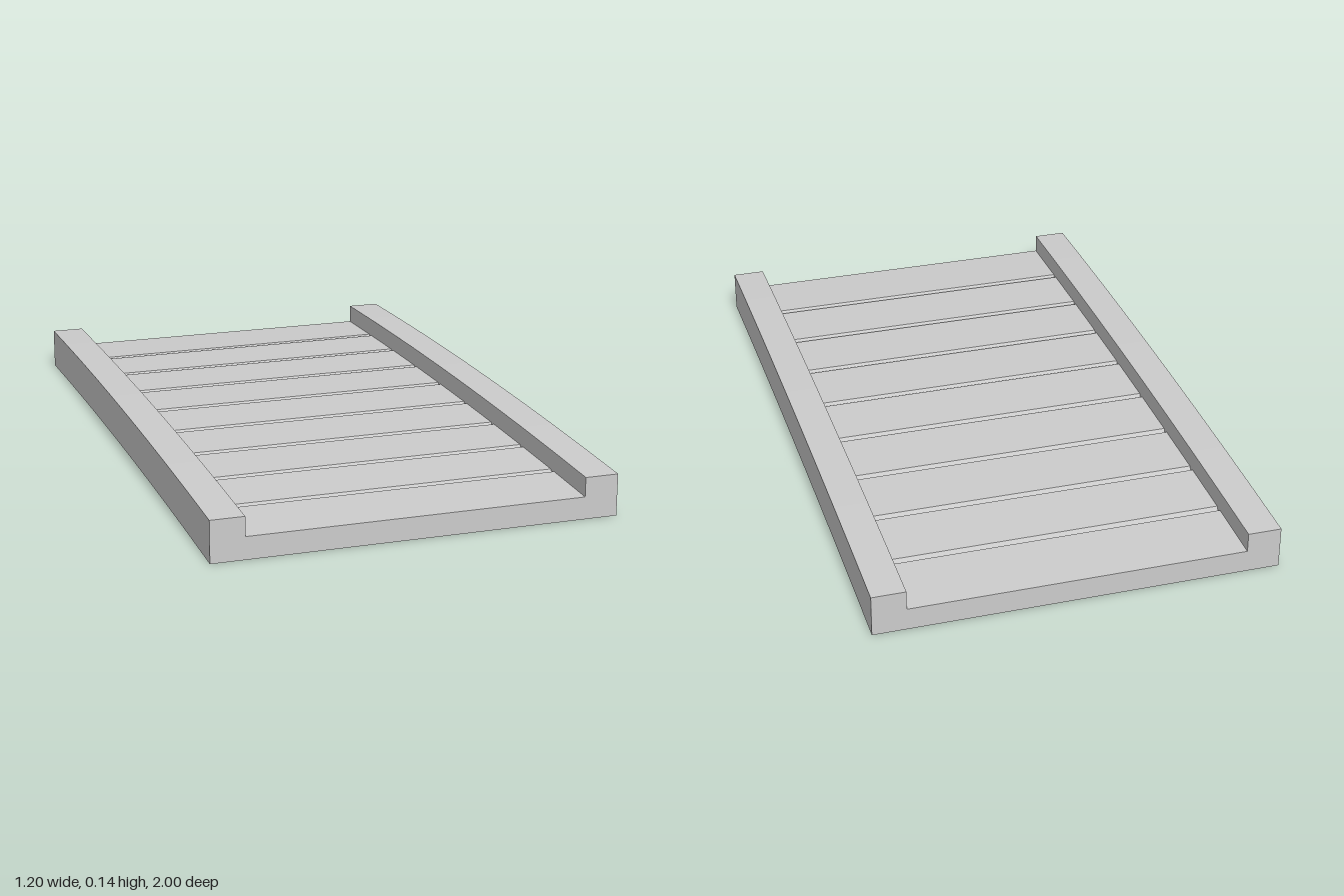
import * as THREE from 'three';

const BOARDS = 9, LENGTH = 2, ARCH = 0.017;
const GROOVE_HALF = 0.011, GROOVE_DEPTH = 0.015;
const DECK = 0.067, RAIL = 0.125, OUTER = 0.6, INNER = 0.5;

// Channel cross-section, counter-clockwise seen from the front
const section = (cut) => [
  [-OUTER, 0], [OUTER, 0], [OUTER, RAIL], [INNER, RAIL],
  [INNER, DECK - cut], [-INNER, DECK - cut], [-INNER, RAIL], [-OUTER, RAIL],
].map(([x, y]) => new THREE.Vector2(x, y));

// Gentle rise towards the middle of the span
const rise = (z) => ARCH * (1 - z * z);

export function createModel() {
  // Stations along the span: both ends, and a V groove at every board joint
  const stations = [[-LENGTH / 2, 0]];
  for (let i = 1; i < BOARDS; i++) {
    const z = -LENGTH / 2 + (i * LENGTH) / BOARDS;
    stations.push([z - GROOVE_HALF, 0], [z, GROOVE_DEPTH], [z + GROOVE_HALF, 0]);
  }
  stations.push([LENGTH / 2, 0]);

  const loops = stations.map(([z, cut]) =>
    section(cut).map((p) => new THREE.Vector3(p.x, p.y + rise(z), z)));
  const positions = [];
  const tri = (...points) => points.forEach((p) => positions.push(p.x, p.y, p.z));

  // Skin between neighbouring stations
  for (let s = 0; s < loops.length - 1; s++) {
    const back = loops[s], front = loops[s + 1];
    for (let i = 0; i < back.length; i++) {
      const j = (i + 1) % back.length;
      tri(back[i], back[j], front[j]);
      tri(back[i], front[j], front[i]);
    }
  }

  // End caps
  const first = loops[0], last = loops[loops.length - 1];
  for (const [a, b, c] of THREE.ShapeUtils.triangulateShape(section(0), [])) {
    tri(last[a], last[b], last[c]);
    tri(first[c], first[b], first[a]);
  }

  const geometry = new THREE.BufferGeometry();
  geometry.setAttribute('position', new THREE.Float32BufferAttribute(positions, 3));
  geometry.computeVertexNormals();

  const bridge = new THREE.Mesh(geometry,
    new THREE.MeshStandardMaterial({ color: 0xcccccc, flatShading: true }));
  bridge.name = 'archedDeckWithRails';

  const group = new THREE.Group();
  group.name = 'bridge';
  group.add(bridge);
  return group;
}
